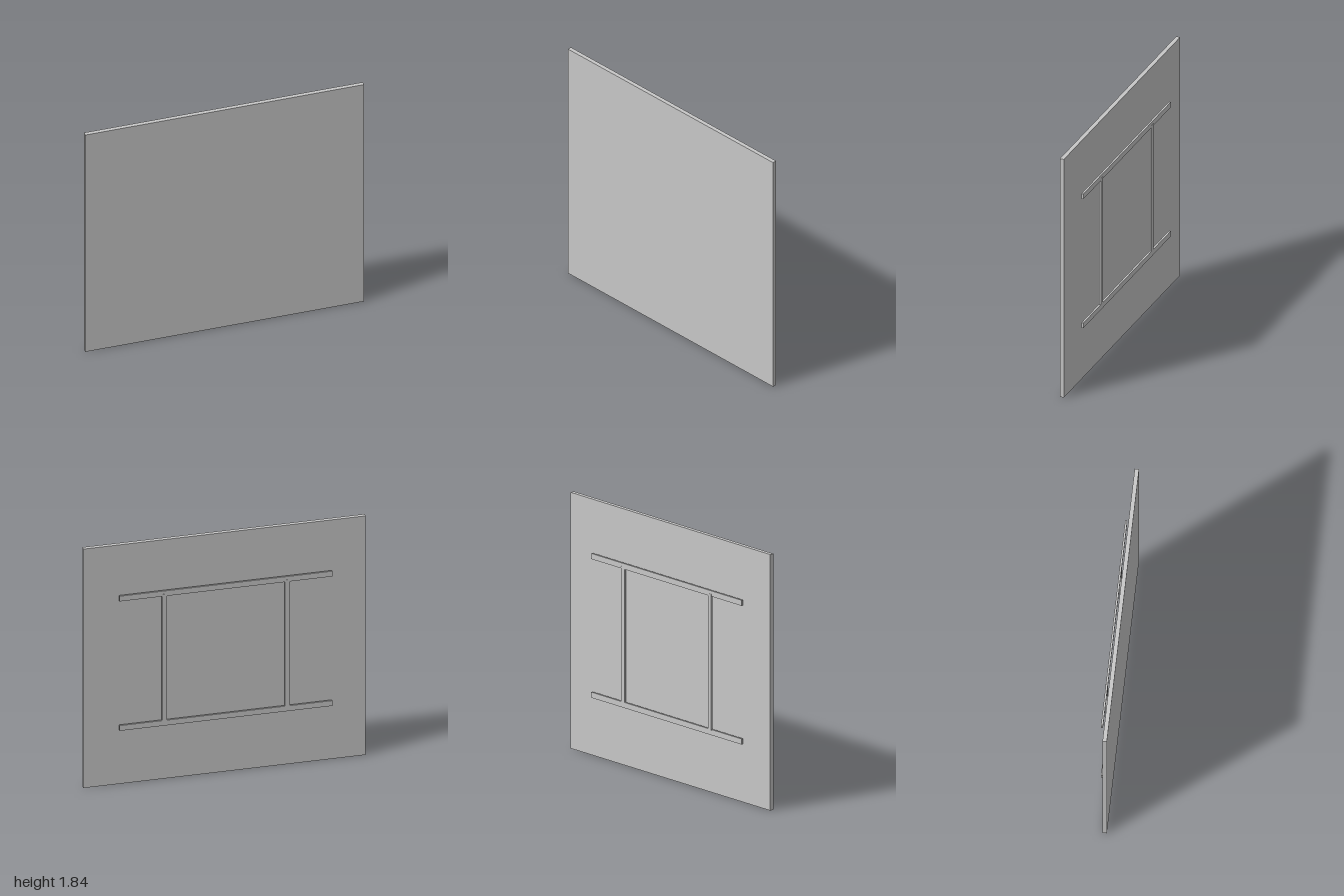
import * as THREE from 'three';

export function createModel() {
  const model = new THREE.Group();
  const grey = new THREE.MeshStandardMaterial({ color: 0xc7c7c7 });
  grey.name = 'light grey';

  // Box given by its [min, max] range on each axis
  function addBox(name, [x0, x1], [y0, y1], [z0, z1]) {
    const mesh = new THREE.Mesh(new THREE.BoxGeometry(x1 - x0, y1 - y0, z1 - z0), grey);
    mesh.position.set((x0 + x1) / 2, (y0 + y1) / 2, (z0 + z1) / 2);
    mesh.name = name;
    model.add(mesh);
  }

  // Large flat panel
  addBox('panel', [-1, 1], [0, 1.835], [0.005, 0.035]);

  // Mounting frame floating behind the panel: two long horizontal rails
  addBox('lowerRail', [-0.753, 0.753], [0.426, 0.466], [-0.033, -0.019]);
  addBox('upperRail', [-0.753, 0.753], [1.42, 1.46], [-0.033, -0.019]);

  // Two uprights, standing slightly proud of the rails
  for (const [name, x] of [['leftUpright', 0.435], ['rightUpright', -0.435]]) {
    addBox(name, [x - 0.017, x + 0.017], [0.459, 1.436], [-0.035, -0.021]);
  }
  return model;
}
